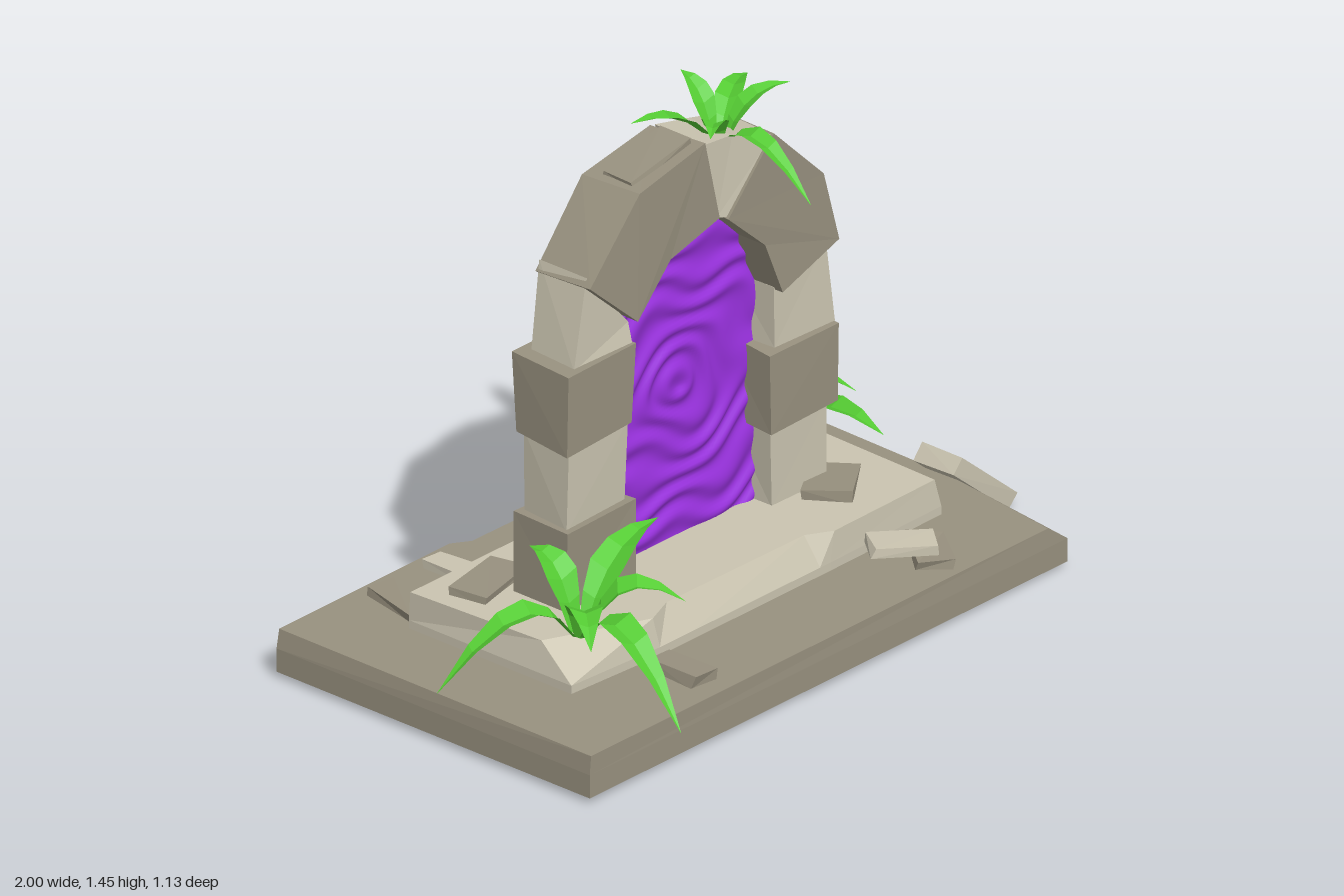
import * as THREE from 'three';

const mat = (color, extra = {}) => new THREE.MeshStandardMaterial({ color, roughness: 0.9, ...extra });
const DARK = mat(0x98917f, { flatShading: true });
const LIGHT = mat(0xcac4b0, { flatShading: true });
const LEAF = mat(0x55cc33, { flatShading: true, side: THREE.DoubleSide });
const PORTAL = mat(0x9a32e0, { side: THREE.DoubleSide });

let seed = 7;
const rand = () => ((seed = (seed * 16807) % 2147483647) / 2147483647) - 0.5;

function mesh(name, geometry, material) {
  const m = new THREE.Mesh(geometry, material);
  m.name = name;
  return m;
}

// Solid through rings { z, pts: [[x, y], ...] } of equal length, capped at both ends, slightly uneven
function loft(rings, rough = 0) {
  const n = rings[0].pts.length;
  const flip = THREE.ShapeUtils.isClockWise(rings[0].pts.map(p => new THREE.Vector2(...p)));
  const pos = [], idx = [];
  const outlines = rings.map(r => {
    const pts = r.pts.map(([x, y]) => new THREE.Vector2(x + rand() * rough, y + rand() * rough));
    if (flip) pts.reverse();
    pts.forEach(p => pos.push(p.x, p.y, r.z + rand() * rough));
    return pts;
  });
  for (let k = 0; k < rings.length - 1; k++) {
    for (let i = 0; i < n; i++) {
      const a = k * n + i, b = k * n + (i + 1) % n;
      idx.push(a, b, b + n, a, b + n, a + n);
    }
  }
  const last = (rings.length - 1) * n;
  THREE.ShapeUtils.triangulateShape(outlines[0], []).forEach(([a, b, c]) => idx.push(c, b, a));
  THREE.ShapeUtils.triangulateShape(outlines[rings.length - 1], [])
    .forEach(([a, b, c]) => idx.push(a + last, b + last, c + last));
  const g = new THREE.BufferGeometry();
  g.setAttribute('position', new THREE.Float32BufferAttribute(pos, 3));
  g.setIndex(idx);
  g.computeVertexNormals();
  return g;
}

// Horizontal slab from [height, [[x, z], ...]] rings
const slab = rings => loft(rings.map(([z, pts]) => ({ z, pts: pts.map(([x, d]) => [x, -d]) })))
  .rotateX(-Math.PI / 2);

// Loose stone: uneven block, turned about y and then tipped about z
function stone(name, [x, y, z], [w, h, d], turn, tip, material, rough = 0.014) {
  const rect = [[-w / 2, -h / 2], [w / 2, -h / 2], [w / 2, h / 2], [-w / 2, h / 2]];
  const m = mesh(name, loft([{ z: -d / 2, pts: rect }, { z: d / 2, pts: rect }], rough), material);
  m.position.set(x, y, z);
  m.rotation.set(0, turn, tip);
  return m;
}

// Folded, arching leaf from the plant's heart to its tip
function leaf(heart, tip, rise, width) {
  const dir = tip.clone().sub(heart).setY(0).normalize();
  const side = new THREE.Vector3(-dir.z, 0, dir.x);
  const start = heart.clone().addScaledVector(dir, 0.02);
  const control = heart.clone().lerp(tip, 0.35).setY(heart.y + rise);
  const curve = new THREE.QuadraticBezierCurve3(start, control, tip);
  const widths = [0.35, 0.7, 1, 0.85, 0.5, 0.01];
  const pos = [], idx = [];
  widths.forEach((w, i) => {
    const p = curve.getPoint(i / (widths.length - 1));
    for (const s of [-1, 0, 1]) {
      const q = p.clone().addScaledVector(side, s * w * width / 2);
      pos.push(q.x, q.y + (s ? w * width * 0.2 : 0), q.z);
    }
    if (i) for (const c of [0, 1]) {
      const a = (i - 1) * 3 + c;
      idx.push(a, a + 1, a + 4, a, a + 4, a + 3);
    }
  });
  const g = new THREE.BufferGeometry();
  g.setAttribute('position', new THREE.Float32BufferAttribute(pos, 3));
  g.setIndex(idx);
  g.computeVertexNormals();
  return mesh('leaf', g, LEAF);
}

function plant(name, heart, rise, width, tips) {
  const g = new THREE.Group();
  g.name = name;
  tips.forEach(t => g.add(leaf(new THREE.Vector3(...heart), new THREE.Vector3(...t), rise, width)));
  return g;
}

// Rippled sheet filling the arch opening
function portalGeometry() {
  const sides = [[0.22, -0.325, 0.245], [0.84, -0.325, 0.26], [0.98, -0.31, 0.2], [1.1, -0.18, 0.09], [1.15, -0.02, 0.04]];
  const g = new THREE.PlaneGeometry(1, 1, 60, 100);
  const p = g.attributes.position;
  for (let i = 0; i < p.count; i++) {
    const y = 0.22 + (p.getY(i) + 0.5) * 0.93;
    let k = 0;
    while (k < sides.length - 2 && y > sides[k + 1][0]) k++;
    const [a, b] = [sides[k], sides[k + 1]];
    const t = (y - a[0]) / (b[0] - a[0]);
    const l = a[1] + (b[1] - a[1]) * t, r = a[2] + (b[2] - a[2]) * t;
    const x = l + (r - l) * (p.getX(i) + 0.5);
    const d = Math.hypot((x + 0.04) * 0.7, y - 0.65);
    const wave = Math.sin(d * 85 + 1.6 * Math.sin(x * 19 + y * 8) + 1.3 * Math.sin(y * 23 - x * 14));
    p.setXYZ(i, x, y, -0.04 + 0.006 * wave);
  }
  g.computeVertexNormals();
  return g;
}

export function createModel() {
  const model = new THREE.Group();
  model.name = 'stonePortal';

  // Base slab, chipped along the back edge and at one corner
  const base = [[-0.96, 0.49], [0.83, 0.49], [0.83, 0.1], [0.83, -0.57], [0.35, -0.57], [0.16, -0.57], [-0.26, -0.57], [-0.31, -0.57], [-0.96, -0.57]];
  const baseTop = [[-0.955, 0.49], [0.76, 0.487], [0.815, 0.1], [0.83, -0.575], [0.35, -0.572], [0.16, -0.535], [-0.26, -0.54], [-0.31, -0.572], [-0.95, -0.57]];
  model.add(mesh('baseSlab', slab([[0.015, base], [0.08, base], [0.132, baseTop]]), DARK));

  // Upper step, chipped along the front edge
  const step = [[-0.73, 0.22], [-0.42, 0.24], [-0.3, 0.24], [0.18, 0.24], [0.22, 0.24], [0.64, 0.235], [0.64, -0.33], [-0.73, -0.33]];
  const stepTop = [[-0.71, 0.1], [-0.43, 0.225], [-0.34, 0.19], [0.17, 0.195], [0.24, 0.235], [0.62, 0.23], [0.635, -0.325], [-0.73, -0.325]];
  model.add(mesh('step', slab([[0.12, step], [0.155, step], [0.235, stepTop]]), LIGHT));

  // Arch blocks: outline, front z, back z, stone
  const box = (x0, x1, y0, y1) => [[x0, y0], [x1, y0], [x1, y1], [x0, y1]];
  const blocks = [
    [box(-0.55, -0.3, 0.225, 0.455), 0.045, -0.135, DARK],
    [box(-0.53, -0.315, 0.45, 0.685), 0.03, -0.125, LIGHT],
    [box(-0.555, -0.305, 0.68, 0.905), 0.05, -0.135, DARK],
    [[[-0.51, 0.9], [-0.305, 0.9], [-0.3, 0.96], [-0.47, 1.14]], 0.035, -0.12, LIGHT],
    [[[-0.48, 1.12], [-0.3, 1.32], [-0.045, 1.365], [0.01, 1.13], [-0.18, 1.09], [-0.305, 0.96]], 0.055, -0.125, DARK],
    [[[-0.05, 1.36], [0.07, 1.345], [0.215, 1.3], [0.045, 1.13], [0.005, 1.13]], 0.045, -0.115, LIGHT],
    [[[0.215, 1.305], [0.4, 1.11], [0.46, 0.91], [0.24, 0.84], [0.18, 0.995], [0.045, 1.13]], 0.055, -0.125, DARK],
    [[[0.24, 0.845], [0.435, 0.905], [0.455, 0.675], [0.235, 0.675]], 0.035, -0.125, LIGHT],
    [box(0.21, 0.465, 0.455, 0.68), 0.045, -0.135, DARK],
    [box(0.235, 0.44, 0.225, 0.46), 0.03, -0.14, LIGHT],
  ];
  const arch = new THREE.Group();
  arch.name = 'arch';
  blocks.forEach(([pts, front, back, material]) =>
    arch.add(mesh('archBlock', loft([{ z: back, pts }, { z: front, pts }], 0.014), material)));
  model.add(arch);

  model.add(mesh('portal', portalGeometry(), PORTAL));

  // Loose stones
  model.add(
    stone('fallenStone', [0.88, 0.105, 0.1], [0.27, 0.05, 0.135], 0, -0.69, LIGHT, 0.004),
    stone('rubble', [-0.65, 0.14, -0.43], [0.075, 0.03, 0.2], -0.25, 0, DARK),
    stone('rubble', [-0.42, 0.14, -0.45], [0.075, 0.03, 0.16], 0.05, 0, LIGHT),
    stone('rubble', [-0.56, 0.24, -0.21], [0.21, 0.03, 0.11], 0.2, 0, DARK),
    stone('rubble', [-0.46, 0.145, 0.35], [0.08, 0.035, 0.16], -0.05, 0, DARK),
    stone('rubble', [0.45, 0.145, 0.37], [0.1, 0.03, 0.17], -0.7, 0, DARK),
    stone('rubble', [0.38, 0.175, 0.335], [0.17, 0.03, 0.1], -0.6, -0.08, LIGHT),
    stone('rubble', [0.42, 0.245, 0.06], [0.17, 0.03, 0.12], 0.6, 0, DARK),
    stone('rubble', [0.41, 0.24, -0.25], [0.08, 0.025, 0.09], 0, 0, LIGHT),
    stone('archChip', [-0.17, 1.345, -0.03], [0.22, 0.02, 0.1], 0, 0.22, DARK, 0.008),
  );

  // Plants, listed by heart and leaf tips
  model.add(
    plant('frontPlant', [-0.63, 0.24, 0.16], 0.21, 0.1, [
      [-0.995, 0.16, 0.005], [-0.26, 0.41, 0.09], [-0.69, 0.12, 0.555],
      [-0.445, 0.33, 0.35], [-0.8, 0.32, 0.35], [-0.61, 0.42, -0.03]]),
    plant('backPlant', [0.58, 0.2, -0.29], 0.22, 0.1, [
      [0.95, 0.15, -0.4], [0.63, 0.28, -0.535], [0.22, 0.365, -0.455],
      [0.33, 0.35, -0.2], [0.55, 0.35, 0.12], [0.76, 0.3, -0.16]]),
    plant('topPlant', [0.08, 1.3, -0.015], 0.14, 0.07, [
      [-0.21, 1.45, -0.05], [0.34, 1.355, -0.15], [0.08, 1.23, 0.3],
      [0.28, 1.42, 0.05], [0.1, 1.45, -0.16], [-0.065, 1.4, 0.09]]),
  );
  return model;
}
